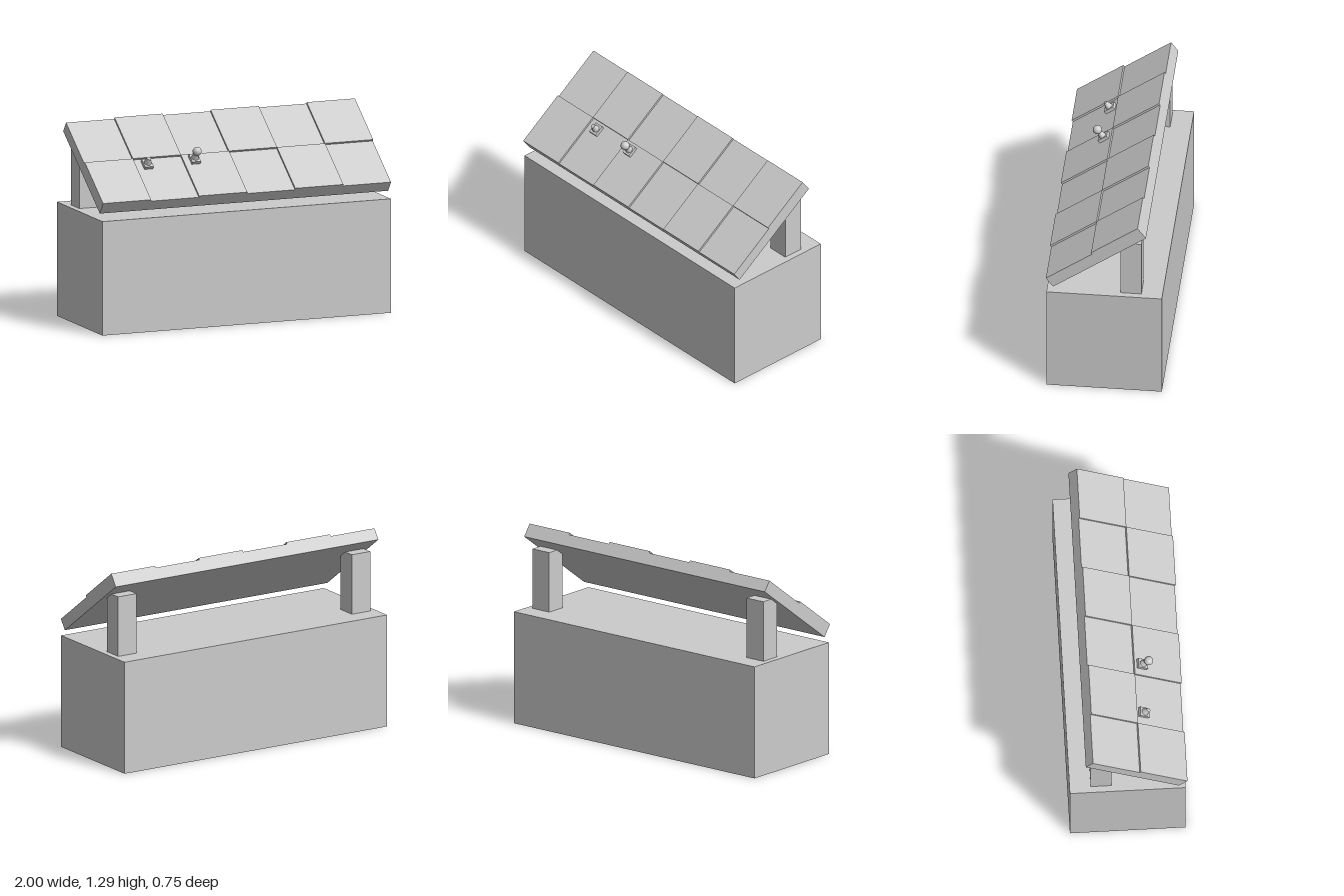
import * as THREE from 'three';

export function createModel() {
  const model = new THREE.Group();
  const grey = new THREE.MeshStandardMaterial({ color: 0xcccccc });

  const add = (parent, name, geometry, x, y, z) => {
    const mesh = new THREE.Mesh(geometry, grey);
    mesh.name = name;
    mesh.position.set(x, y, z);
    parent.add(mesh);
    return mesh;
  };
  const box = (parent, name, w, h, d, x, y, z) =>
    add(parent, name, new THREE.BoxGeometry(w, h, d), x, y, z);

  // Solid cabinet and the two posts carrying the sloped panel
  box(model, 'cabinet', 2, 0.74, 0.74, 0, 0.37, -0.005);
  for (const side of [-1, 1]) {
    box(model, side > 0 ? 'leftPost' : 'rightPost', 0.14, 0.395, 0.134, side * 0.89, 0.9375, -0.173);
  }

  // Sloped panel, tilted down towards the front
  const panel = new THREE.Group();
  panel.name = 'slopedPanel';
  panel.position.set(0, 1.0375, 0.0515);
  panel.rotation.x = 0.626;
  model.add(panel);

  const length = 0.735, half = 0.046, step = 0.013, columns = 6, tileWidth = 2 / columns;

  // Two rows of tiles, raised and lowered like a checkerboard
  for (let row = 0; row < 2; row++) {
    for (let col = 0; col < columns; col++) {
      const raised = (row + col) % 2 === 1;
      const h = 2 * half - (raised ? 0 : step);
      box(panel, 'panelTile', tileWidth, h, length / 2,
        -1 + (col + 0.5) * tileWidth, -half + h / 2, (row - 0.5) * length / 2);
    }
  }

  // Levers: square mount, tapered stem and, on one of them, a ball
  const addLever = (name, x, surface, withBall) => {
    const lever = new THREE.Group();
    lever.name = name;
    lever.position.set(x, surface, 0.0545);
    panel.add(lever);
    box(lever, 'leverMount', 0.06, 0.022, 0.071, 0, 0.011, 0);
    add(lever, 'leverStem', new THREE.CylinderGeometry(0.013, 0.024, 0.04, 24), 0, 0.042, 0);
    if (withBall) add(lever, 'leverBall', new THREE.SphereGeometry(0.029, 32, 20), 0, 0.079, 0);
  };
  addLever('bareLever', -0.585, half - step, false);
  addLever('ballLever', -0.26, half, true);

  return model;
}
